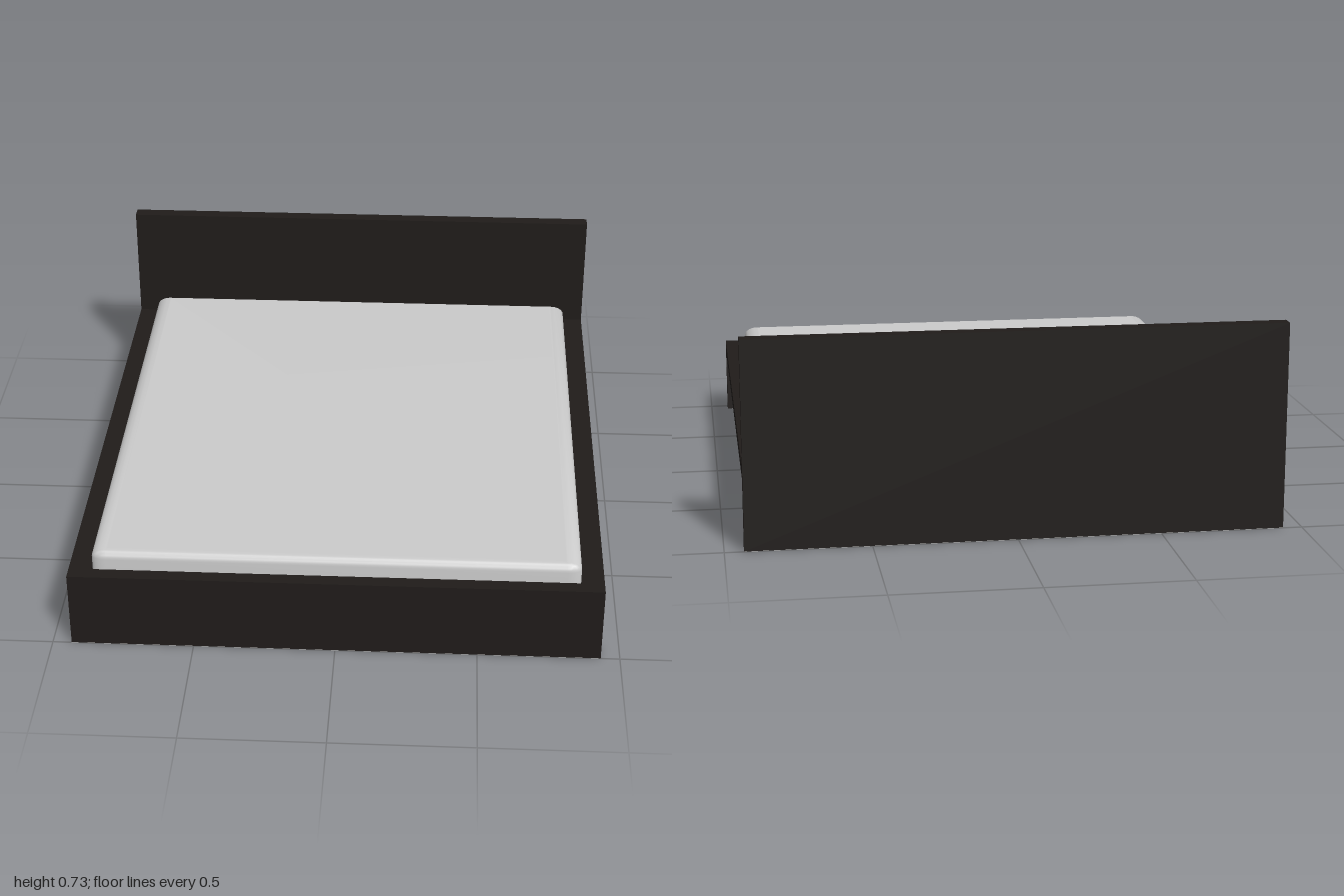
import * as THREE from 'three';
import { toCreasedNormals } from 'three/addons/utils/BufferGeometryUtils.js';

const wood = new THREE.MeshStandardMaterial({ color: 0x201c1a });
const grey = new THREE.MeshStandardMaterial({ color: 0xcccccc });

// Box given by its minimum and maximum corners
function block(name, min, max, material = wood) {
  const size = max.map((v, i) => v - min[i]);
  const mesh = new THREE.Mesh(new THREE.BoxGeometry(...size), material);
  mesh.position.set(...max.map((v, i) => (v + min[i]) / 2));
  mesh.name = name;
  return mesh;
}

// Stacked rounded-rectangle loops, drawn in towards the top edge
function mattressGeometry(hx, hz, y0, y1) {
  const rx = 0.05, rz = 0.025, drop = 0.03, steps = 6;
  const levels = [[y0, 0]];
  for (let i = 0; i <= steps; i++) {
    const a = (i / steps) * Math.PI / 2;
    levels.push([y1 - drop + drop * Math.sin(a), 1 - Math.cos(a)]);
  }
  levels.push([y1, 1.1]); // flat rim keeps the top cap evenly shaded
  const signs = [[1, 1], [-1, 1], [-1, -1], [1, -1]];
  const n = 4 * (steps + 1);
  const positions = [], index = [];
  for (const [y, t] of levels) {
    signs.forEach(([sx, sz], q) => {
      for (let i = 0; i <= steps; i++) {
        const a = (q + i / steps) * Math.PI / 2;
        // the corner arc shrinks as the loop draws in
        const k = Math.max(1 - t, 0.1);
        positions.push(
          sx * (hx - rx * (t + k)) + rx * k * Math.cos(a), y,
          sz * (hz - rz * (t + k)) + rz * k * Math.sin(a));
      }
    });
  }
  const last = (levels.length - 1) * n;
  for (let l = 0; l < levels.length - 1; l++) {
    for (let i = 0; i < n; i++) {
      const a = l * n + i, b = l * n + (i + 1) % n;
      index.push(a, a + n, b, b, a + n, b + n);
    }
  }
  // bottom and top caps
  for (let i = 1; i < n - 1; i++) {
    index.push(0, i, i + 1, last, last + i + 1, last + i);
  }
  const geometry = new THREE.BufferGeometry();
  geometry.setAttribute('position', new THREE.Float32BufferAttribute(positions, 3));
  geometry.setIndex(index);
  return toCreasedNormals(geometry, 0.6);
}

export function createModel() {
  const bed = new THREE.Group();
  bed.name = 'bed';
  const w = 0.933, inner = 0.853, sole = 0.001;

  // End panels standing on thin grey soles
  bed.add(block('headboard', [-w, sole, -1], [w, 0.73, -0.95]));
  bed.add(block('footboard', [-w, sole, 0.95], [w, 0.285, 1]));
  bed.add(block('headboardSole', [-w, 0, -1], [w, sole, -0.95], grey));
  bed.add(block('footboardSole', [-w, 0, 0.95], [w, sole, 1], grey));

  // Side rails: a board set back slightly below an overhanging ledge
  for (const [side, s] of [['left', 1], ['right', -1]]) {
    const span = (a, b) => [Math.min(s * a, s * b), Math.max(s * a, s * b)];
    const [r0, r1] = span(inner, 0.913), [l0, l1] = span(inner, w);
    bed.add(block(side + 'Rail', [r0, 0.12, -0.95], [r1, 0.24, 0.95]));
    bed.add(block(side + 'Ledge', [l0, 0.24, -0.95], [l1, 0.285, 0.95]));
  }

  // Mattress
  const mattress = new THREE.Mesh(mattressGeometry(inner, 0.948, 0.205, 0.355), grey);
  mattress.name = 'mattress';
  bed.add(mattress);

  return bed;
}
